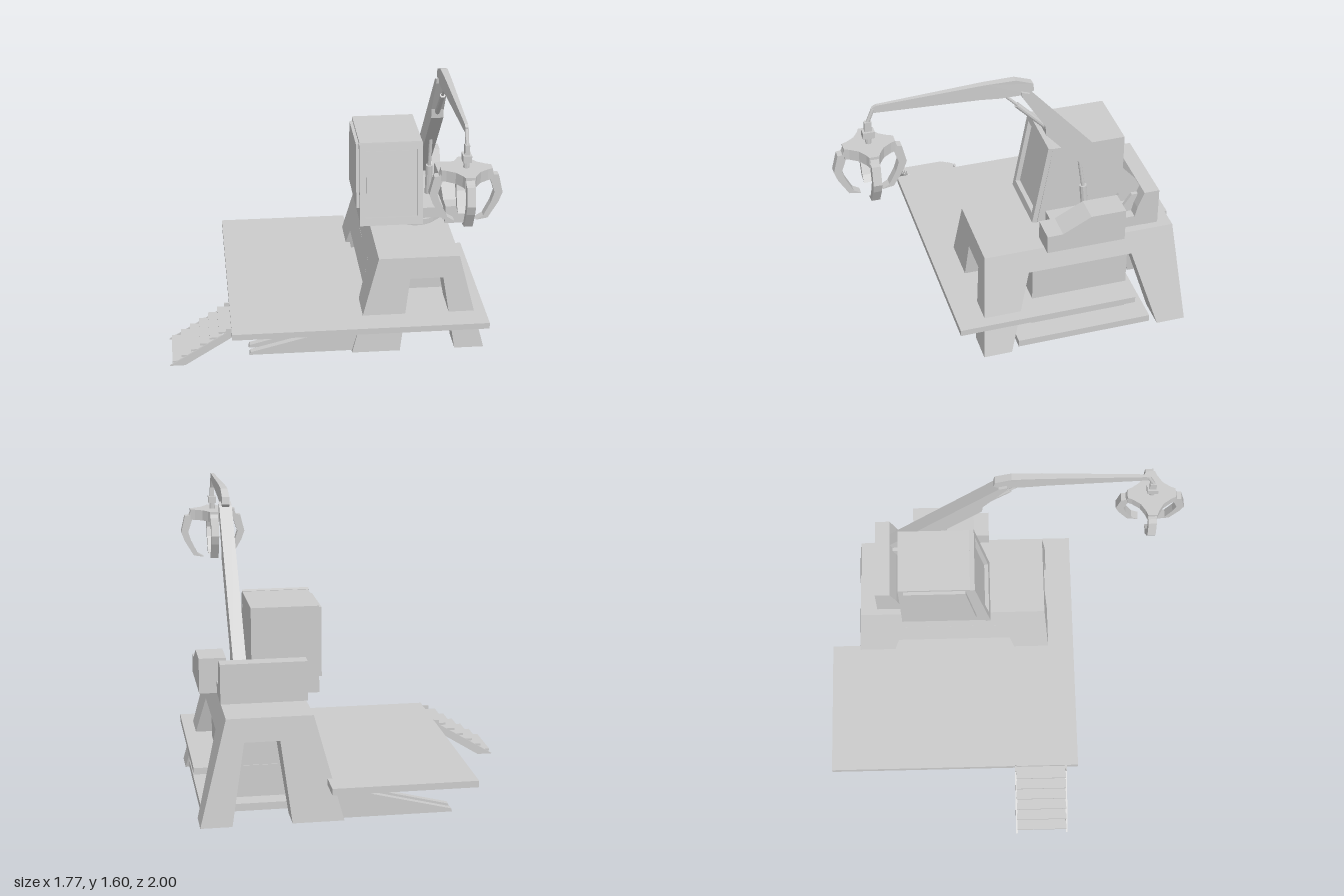
import * as THREE from 'three';

const material = new THREE.MeshStandardMaterial({ color: 0xcccccc, flatShading: true });

function add(parent, name, geometry) {
  const mesh = new THREE.Mesh(geometry, material);
  mesh.name = name;
  parent.add(mesh);
  return mesh;
}

function group(parent, name) {
  const g = new THREE.Group();
  g.name = name;
  parent.add(g);
  return g;
}

// Box given by its limits
function box(x0, x1, y0, y1, z0, z1) {
  return new THREE.BoxGeometry(x1 - x0, y1 - y0, z1 - z0)
    .translate((x0 + x1) / 2, (y0 + y1) / 2, (z0 + z1) / 2);
}

// Tapered block between a bottom and a top rectangle [x0, x1, z0, z1]
function taper(y0, bottom, y1, top) {
  const g = new THREE.BoxGeometry(1, 1, 1);
  const p = g.attributes.position;
  for (let i = 0; i < p.count; i++) {
    const up = p.getY(i) > 0;
    const r = up ? top : bottom;
    p.setXYZ(i, p.getX(i) > 0 ? r[1] : r[0], up ? y1 : y0, p.getZ(i) > 0 ? r[3] : r[2]);
  }
  return g;
}

function shapeOf(points) {
  return new THREE.Shape(points.map(([a, b]) => new THREE.Vector2(a, b)));
}

function extrude(shape, depth) {
  return new THREE.ExtrudeGeometry(shape, { depth, bevelEnabled: false });
}

// Side profile of [z, y] points, extruded from x0 to x1
function sideProfile(points, x0, x1) {
  return extrude(shapeOf(points), x1 - x0).rotateY(-Math.PI / 2).translate(x1, 0, 0);
}

// Front profile of [x, y] points, extruded from z0 to z1
function frontProfile(points, z0, z1) {
  return extrude(shapeOf(points), z1 - z0).translate(0, 0, z0);
}

// Round bar between two points
function rod(a, b, radius) {
  const from = new THREE.Vector3(...a), to = new THREE.Vector3(...b);
  const dir = to.clone().sub(from);
  const g = new THREE.CylinderGeometry(radius, radius, dir.length(), 10);
  g.applyQuaternion(new THREE.Quaternion().setFromUnitVectors(new THREE.Vector3(0, 1, 0), dir.normalize()));
  const mid = from.add(to).multiplyScalar(0.5);
  return g.translate(mid.x, mid.y, mid.z);
}

function buildPedestal(root) {
  const g = group(root, 'pedestal');
  // Outer sloping faces at height y
  const outer = (y) => {
    const t = y / 0.56;
    return [0.135 + 0.15 * t, 0.88 - 0.145 * t, -0.86 + 0.05 * t, 0.29 - 0.045 * t];
  };
  add(g, 'pedestalTop', taper(0.435, outer(0.435), 0.56, outer(0.56)));
  const b = outer(0), t = outer(0.435);
  for (const right of [0, 1]) for (const front of [0, 1]) {
    const xs = (r, inner) => (right ? [inner[1], r[1]] : [r[0], inner[0]]);
    const zs = (r, inner) => (front ? [inner[1], r[3]] : [r[2], inner[0]]);
    add(g, 'pedestalLeg', taper(
      0, [...xs(b, [0.405, 0.715]), ...zs(b, [-0.70, 0.134])],
      0.435, [...xs(t, [0.46, 0.645]), ...zs(t, [-0.57, 0.01])]));
  }
  // Lower lintel on the deck side
  const low = outer(0.315);
  add(g, 'lintel', taper(0.315, [low[0], 0.44, -0.62, 0.05], 0.436, [t[0], 0.46, -0.58, 0.02]));
  // Central block and its foot plate
  add(g, 'coreBlock', box(0.32, 0.74, 0.05, 0.43, -0.555, -0.02));
  add(g, 'footPlate', box(0.0, 0.86, 0.01, 0.05, -0.66, 0.09));
  // Tapered stabilisers reaching out below the deck
  for (const z of [0.155, 0.235, -0.76, -0.835]) {
    add(g, 'stabiliser', frontProfile([[-0.44, 0.005], [0.25, 0.005], [0.25, 0.193], [-0.435, 0.022]], z, z + 0.035));
  }
}

function buildDeck(root) {
  const deck = shapeOf([[-0.54, -0.42], [0.885, -0.42], [0.885, 0.56], [0.22, 0.56], [0.22, 1], [-0.54, 1]]);
  add(root, 'deck', extrude(deck, 0.035).rotateX(-Math.PI / 2).translate(0, 0.19, 0));
  const stairs = group(root, 'stairs');
  for (const z of [0.055, 0.345]) {
    add(stairs, 'stringer', frontProfile(
      [[-0.885, 0.01], [-0.8, 0.01], [-0.51, 0.19], [-0.54, 0.228], [-0.57, 0.228], [-0.57, 0.2]], z, z + 0.01));
  }
  for (let i = 0; i < 6; i++) {
    const x = -0.87 + i * 0.052, y = 0.025 + i * 0.034;
    add(stairs, 'tread', box(x, x + 0.07, y, y + 0.012, 0.062, 0.348));
  }
}

function buildHouse(root) {
  const g = group(root, 'turningHouse');
  // Slewing ring
  for (const [r, y0, y1] of [[0.135, 0.56, 0.58], [0.15, 0.575, 0.59], [0.168, 0.588, 0.612]]) {
    add(g, 'slewRing', new THREE.CylinderGeometry(r, r, y1 - y0, 32).translate(0.555, (y0 + y1) / 2, -0.287));
  }
  // Cabin with a sloping framed windscreen
  const cabin = group(g, 'cabin');
  add(cabin, 'cabinBody', taper(0.61, [0.22, 0.575, -0.57, -0.095], 1.075, [0.22, 0.575, -0.57, -0.175]));
  const frame = shapeOf([[-0.18, 0], [0.18, 0], [0.18, 0.477], [-0.18, 0.477]]);
  frame.holes.push(shapeOf([[-0.148, 0.045], [-0.148, 0.437], [0.148, 0.437], [0.148, 0.045]]));
  const screen = group(cabin, 'windscreen');
  screen.position.set(0.395, 0.607, -0.092);
  screen.rotation.x = -Math.atan2(0.083, 0.47);
  add(screen, 'windscreenFrame', extrude(frame, 0.027));
  add(screen, 'windscreenPane', box(-0.14, 0.14, 0.055, 0.427, -0.01, 0.006));
  add(cabin, 'sideWindow', sideProfile([[-0.54, 0.69], [-0.145, 0.69], [-0.2, 1.06], [-0.54, 1.06]], 0.202, 0.225));

  // Engine cover, boom deck and counterweight
  add(g, 'engineCover', sideProfile(
    [[-0.065, 0.61], [-0.065, 0.715], [-0.15, 0.717], [-0.303, 0.798], [-0.495, 0.798], [-0.495, 0.61]], 0.7, 0.842));
  add(g, 'boomDeck', box(0.57, 0.705, 0.61, 0.675, -0.5, -0.14));
  add(g, 'rearDeck', box(0.3, 0.75, 0.61, 0.675, -0.64, -0.49));
  add(g, 'counterweight', sideProfile(
    [[-0.63, 0.61], [-0.58, 0.67], [-0.595, 0.73], [-0.63, 0.82], [-0.713, 0.82], [-0.713, 0.61]], 0.3, 0.752));
}

function buildBoom(root) {
  const g = group(root, 'crane');
  const x = 0.642;
  add(g, 'boom', sideProfile([[0.035, 1.53], [-0.01, 1.515], [-0.63, 0.815], [-0.6, 0.69], [-0.3, 1.02],
    [-0.1, 1.245], [-0.095, 1.3], [0.03, 1.5]], x - 0.034, x + 0.034));
  for (const s of [-1, 1]) {
    add(g, 'boomBracket', sideProfile([[-0.64, 0.66], [-0.5, 0.66], [-0.58, 0.78], [-0.63, 0.78]],
      x + s * 0.045 - 0.01, x + s * 0.045 + 0.01));
  }
  // Jib, narrowing towards its tip
  const jib = sideProfile([[0.79, 1.565], [0.77, 1.575], [0.22, 1.598], [0.06, 1.598], [-0.03, 1.565],
    [-0.035, 1.525], [-0.01, 1.505], [0.14, 1.505], [0.25, 1.515], [0.785, 1.535]], -0.02, 0.02);
  const p = jib.attributes.position;
  for (let i = 0; i < p.count; i++) {
    p.setX(i, x + p.getX(i) * (1 - 0.6 * Math.max(0, p.getZ(i)) / 0.79));
  }
  add(g, 'jib', jib);
  // Hydraulic rams
  add(g, 'jibRam', rod([x, 1.515, 0.12], [x, 1.3, -0.09], 0.008));
  add(g, 'jibRamSleeve', rod([x, 1.44, 0.05], [x, 1.27, -0.115], 0.015));
  add(g, 'boomRam', rod([x, 1.04, -0.295], [x, 0.8, -0.33], 0.01));
  add(g, 'boomRamSleeve', rod([x, 0.86, -0.322], [x, 0.66, -0.34], 0.02));
}

function buildGrapple(root) {
  const g = group(root, 'grapple');
  g.position.set(0.642, 0, 0.815);
  // Hanger linkage
  add(g, 'hangerLink', rod([0, 1.555, -0.03], [0, 1.47, 0.005], 0.01));
  add(g, 'swivelTop', box(-0.012, 0.012, 1.43, 1.485, -0.018, 0.018));
  add(g, 'swivelBlock', box(-0.022, 0.022, 1.395, 1.432, -0.03, 0.03));
  add(g, 'swivelPin', rod([0, 1.35, 0], [0, 1.4, 0], 0.016));
  // Four-armed hub
  const star = [];
  for (let i = 0; i < 4; i++) {
    const a = i * Math.PI / 2, c = Math.cos(a), s = Math.sin(a);
    for (const [u, v] of [[0.13, -0.025], [0.13, 0.025], [0.105, 0.035], [0.063, 0.063], [0.035, 0.105]]) {
      star.push([u * c - v * s, u * s + v * c]);
    }
  }
  add(g, 'hub', extrude(shapeOf(star), 0.06).rotateX(-Math.PI / 2).translate(0, 1.3, 0));
  // Curved claws
  for (let i = 0; i < 4; i++) {
    const claw = add(g, 'claw', frontProfile([[0.1, 1.345], [0.13, 1.345], [0.138, 1.325], [0.163, 1.322], [0.186, 1.225],
      [0.168, 1.175], [0.115, 1.085], [0.055, 1.075], [0.092, 1.098], [0.128, 1.17], [0.145, 1.225],
      [0.122, 1.295]], -0.022, 0.022));
    claw.rotation.y = i * Math.PI / 2;
  }
}

export function createModel() {
  const root = new THREE.Group();
  root.name = 'grappleCrane';
  buildPedestal(root);
  buildDeck(root);
  buildHouse(root);
  buildBoom(root);
  buildGrapple(root);
  return root;
}
